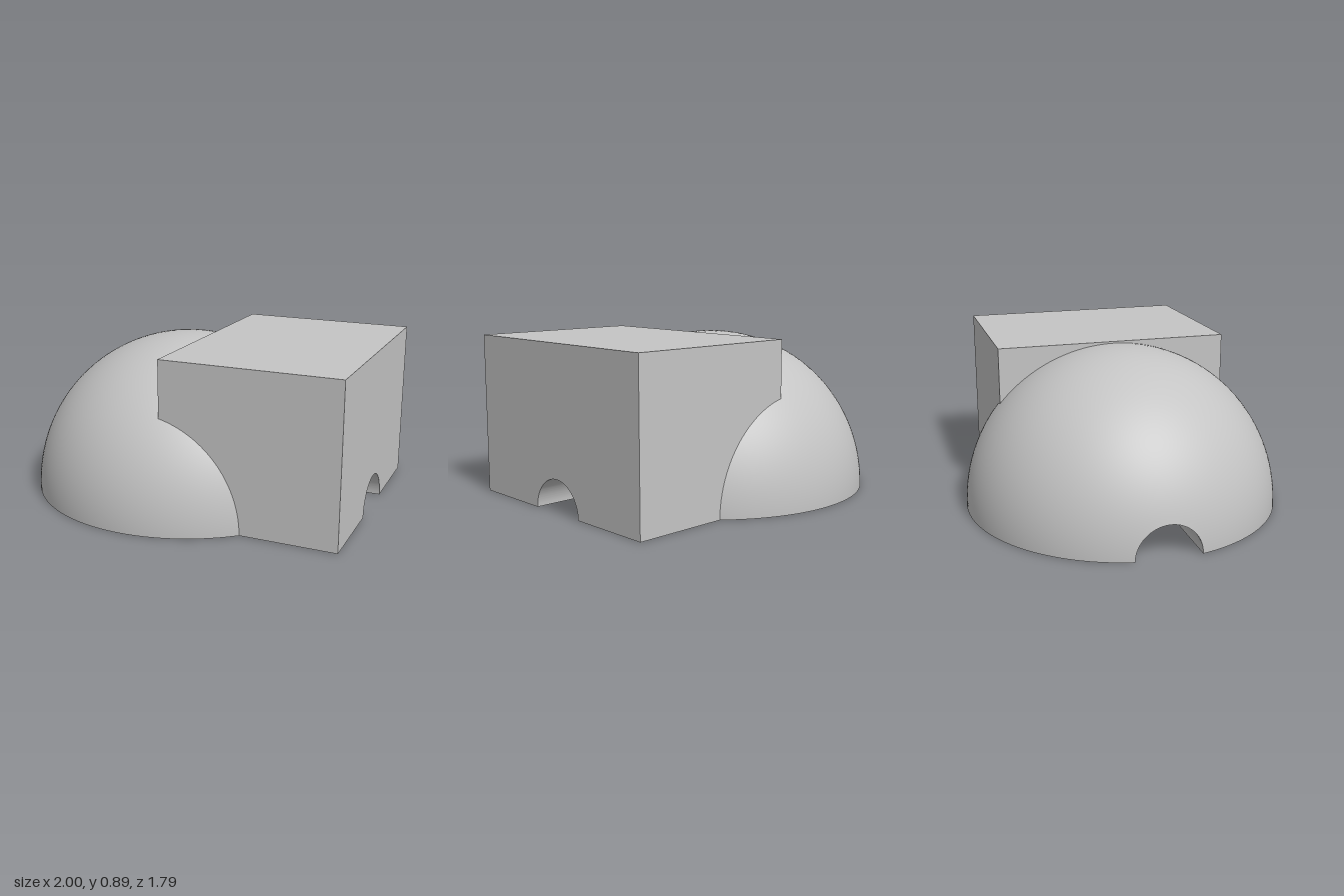
import * as THREE from 'three';
import { toCreasedNormals } from 'three/addons/utils/BufferGeometryUtils.js';

const R = 0.895;        // dome radius
const CX = -0.123;      // dome centre on x
const BORE = 0.182;     // channel radius
const X0 = 0.01, X1 = 1; // block ends
const HALF = 0.67;      // block half depth

// Half turn of a profile [radius, x] about the x axis, upper side only
function halfTurn(points, segments) {
  const profile = points.map(([r, x]) => new THREE.Vector2(r, x));
  return new THREE.LatheGeometry(profile, segments, Math.PI, Math.PI).rotateZ(-Math.PI / 2);
}

export function createModel() {
  const group = new THREE.Group();
  const gray = new THREE.MeshStandardMaterial({ color: 0xc4c4c4 });
  gray.name = 'plain gray';
  const add = (name, geometry) => {
    const mesh = new THREE.Mesh(geometry, gray);
    mesh.name = name;
    group.add(mesh);
  };

  // Half sphere, pierced at both ends by the channel
  const boreAngle = Math.asin(BORE / R);
  const arc = [];
  for (let i = 0; i <= 64; i++) {
    const a = Math.PI - boreAngle - (i / 64) * (Math.PI - 2 * boreAngle);
    arc.push([R * Math.sin(a), CX + R * Math.cos(a)]);
  }
  add('dome', halfTurn(arc, 64));

  // Channel wall under the dome, facing inward
  add('domeChannel', halfTurn([[BORE, X0], [BORE, arc[0][1]]], 48));

  // Flat underside of the dome, outside the block footprint
  const cornerAngle = Math.asin(HALF / R);
  for (const side of [1, -1]) {
    const outline = [new THREE.Vector2(X0, side * BORE)];
    for (let i = 0; i <= 48; i++) {
      const a = Math.PI - boreAngle - (i / 48) * (Math.PI - boreAngle - cornerAngle);
      outline.push(new THREE.Vector2(CX + R * Math.cos(a), side * R * Math.sin(a)));
    }
    outline.push(new THREE.Vector2(X0, side * HALF));
    // The edge of the block footprint runs on to the dome's right rim
    const rim = new THREE.Shape(outline);
    add(side > 0 ? 'frontUnderside' : 'backUnderside', new THREE.ShapeGeometry(rim).rotateX(Math.PI / 2));

    const sliver = [];
    for (let i = 0; i <= 24; i++) {
      const a = cornerAngle + (i / 24) * (Math.PI / 2 - cornerAngle);
      sliver.push(new THREE.Vector2(CX + R * Math.cos(a), side * R * Math.sin(a)));
    }
  }

  // Block with the round channel cut through its base
  const section = new THREE.Shape();
  section.moveTo(-HALF, 0);
  section.lineTo(-BORE, 0);
  section.absarc(0, 0, BORE, Math.PI, 0, true);
  section.lineTo(HALF, 0);
  section.lineTo(HALF, R);
  section.lineTo(-HALF, R);
  section.closePath();
  const block = new THREE.ExtrudeGeometry(section, { depth: X1 - X0, bevelEnabled: false, curveSegments: 48 });
  add('block', toCreasedNormals(block, 0.5).rotateY(Math.PI / 2).translate(X0, 0, 0));

  return group;
}
